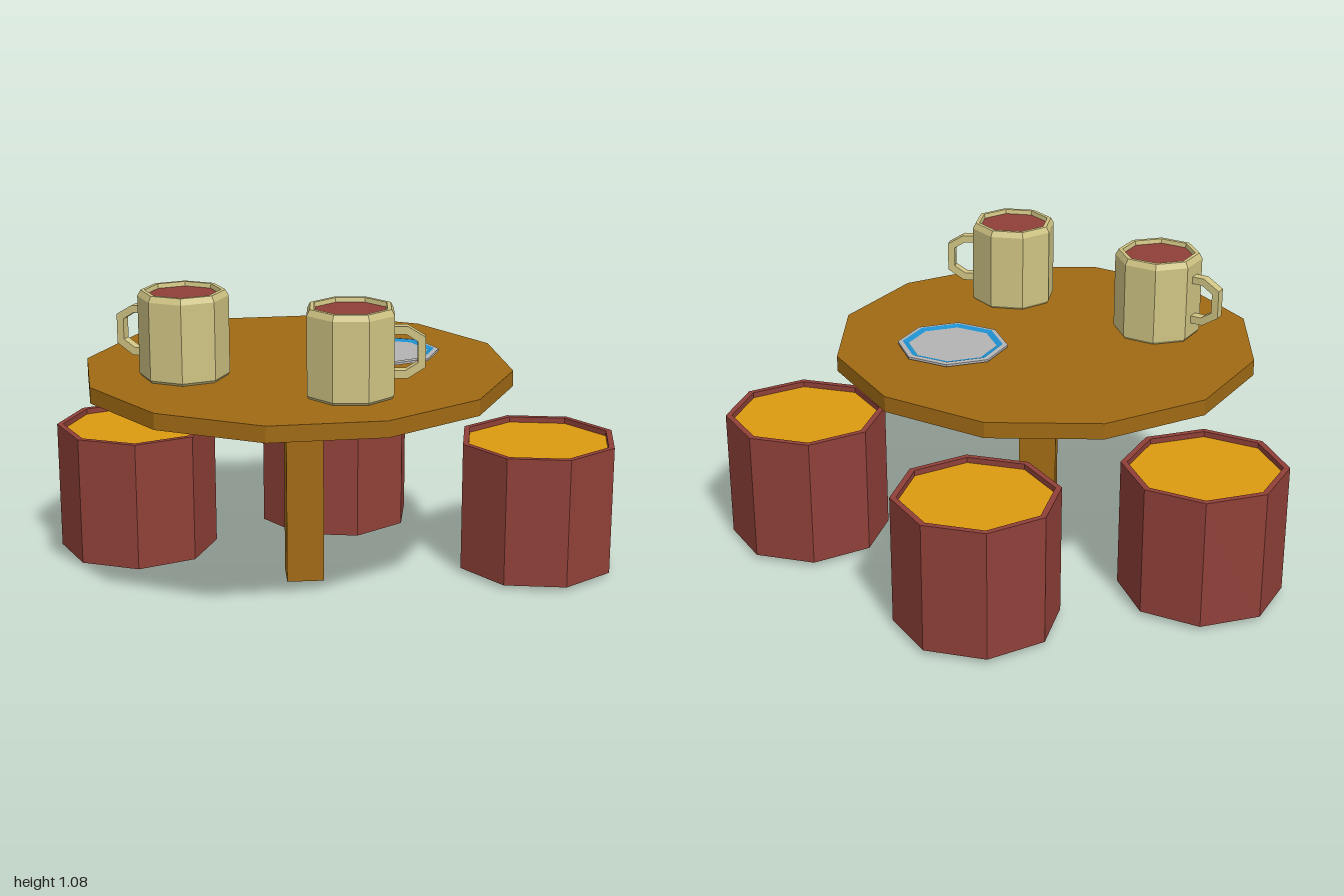
import * as THREE from 'three';

const mat = (color) =>
  new THREE.MeshStandardMaterial({ color, flatShading: true, side: THREE.DoubleSide });
const deg = THREE.MathUtils.degToRad;

export function createModel() {
  const root = new THREE.Group();
  const wood = mat(0xa06a14);
  const red = mat(0x8f4038);
  const cushion = mat(0xdc9a10);
  const cream = mat(0xcfc383);
  const grey = mat(0xb4b4b4);
  const blue = mat(0x1e90d0);

  const add = (parent, name, geometry, material) => {
    const mesh = new THREE.Mesh(geometry, material);
    mesh.name = name;
    parent.add(mesh);
    return mesh;
  };
  // Eight-sided turned part; the profile is a list of [radius, height]
  const turned = (profile, turn = 0) =>
    new THREE.LatheGeometry(profile.map(([r, y]) => new THREE.Vector2(r, y)), 8, deg(turn));
  const group = (name, x, z, turn = 0) => {
    const g = new THREE.Group();
    g.name = name;
    g.position.set(x, 0, z);
    g.rotation.y = deg(turn);
    root.add(g);
    return g;
  };

  // Table: twelve-sided top on a square post
  const table = group('table', -0.145, 0.09);
  const top = add(table, 'tableTop', new THREE.CylinderGeometry(0.74, 0.74, 0.055, 12, 1, false, deg(18.5)), wood);
  top.position.y = 0.7525;
  const post = add(table, 'tablePost', new THREE.BoxGeometry(0.13, 0.73, 0.13), wood);
  post.position.set(0.02, 0.365, -0.01);

  // Stools: shells open underneath with a sunken seat
  const stools = [
    ['leftStool', 0.714, 0.043, 12.3],
    ['backStool', 0.039, -0.54, 12.3],
    ['rightStool', -0.714, -0.27, 0],
  ];
  for (const [name, x, z, turn] of stools) {
    const stool = group(name, x, z, turn);
    add(stool, 'stoolShell', turned([[0.286, 0.015], [0.286, 0.48], [0.264, 0.48], [0.264, 0.46]]), red);
    add(stool, 'stoolSeat', turned([[0.264, 0.46], [0, 0.46]]), cushion);
  }

  // Handle: angular loop cut from a flat plate, reaching out along +x
  const handleShape = new THREE.Shape([
    [0.13, 1.01], [0.185, 1.01], [0.242, 0.975], [0.242, 0.875], [0.185, 0.838], [0.13, 0.838],
    [0.13, 0.865], [0.178, 0.865], [0.217, 0.89], [0.217, 0.96], [0.178, 0.985], [0.13, 0.985],
  ].map(([x, y]) => new THREE.Vector2(x, y)));
  const handleGeometry = new THREE.ExtrudeGeometry(handleShape, { depth: 0.034, bevelEnabled: false });
  handleGeometry.translate(0, 0, -0.017);

  // Mugs: bevelled octagonal cups, handle on the middle of one face
  for (const [name, x, z, turn] of [['frontMug', 0, 0.483, -5], ['sideMug', -0.533, 0.198, 154]]) {
    const mug = group(name, x, z, turn);
    add(mug, 'mugBody', turned([
      [0, 0.781], [0.145, 0.781], [0.152, 0.79], [0.152, 1.055], [0.141, 1.075], [0.127, 1.075], [0.124, 1.06],
    ], 22.5), cream);
    add(mug, 'drink', turned([[0.125, 1.06], [0, 1.06]], 22.5), red);
    add(mug, 'mugHandle', handleGeometry, cream);
  }

  // Plate with a coloured ring
  const plate = group('plate', 0.17, -0.028);
  add(plate, 'plateRim', turned([[0, 0.781], [0.16, 0.781], [0.192, 0.787], [0.192, 0.795], [0.175, 0.797]]), grey);
  add(plate, 'plateRing', turned([[0.175, 0.797], [0.153, 0.791]]), blue);
  add(plate, 'plateCentre', turned([[0.153, 0.791], [0, 0.791]]), grey);

  return root;
}
